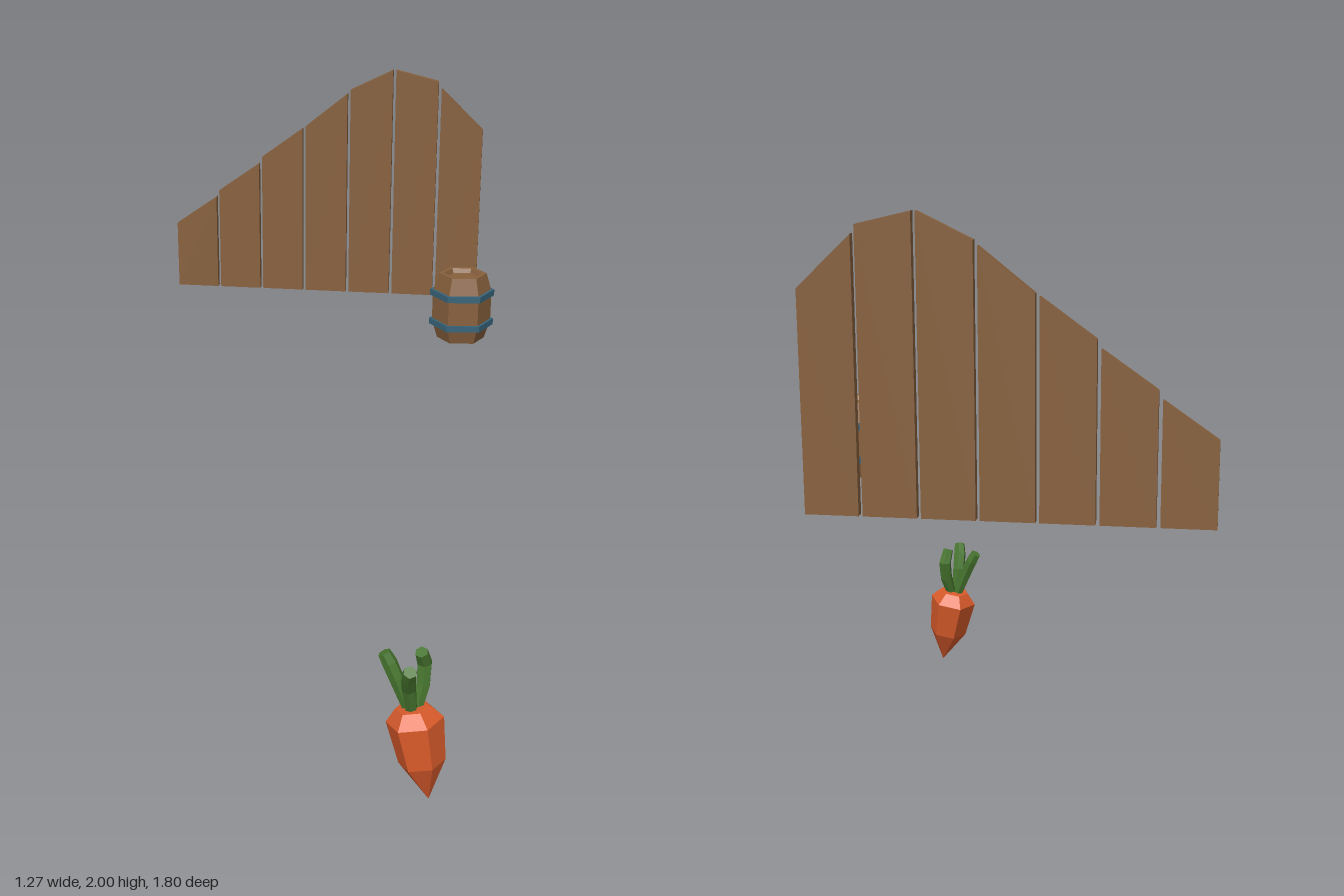
import * as THREE from 'three';

const UP = new THREE.Vector3(0, 1, 0);
const material = (name, color) => {
  const m = new THREE.MeshStandardMaterial({ color });
  m.name = name;
  return m;
};

// Facets a geometry so every face is flat
function flat(geometry) {
  const g = geometry.index ? geometry.toNonIndexed() : geometry;
  g.computeVertexNormals();
  return g;
}

function addMesh(parent, name, geometry, mat) {
  const mesh = new THREE.Mesh(flat(geometry), mat);
  mesh.name = name;
  parent.add(mesh);
  return mesh;
}

// Six-sided turned solid with corners on the x axis; profile is [radius, height], bottom to top
function hexLathe(profile) {
  const g = new THREE.LatheGeometry(profile.map(([r, y]) => new THREE.Vector2(r, y)), 6);
  return g.rotateY(Math.PI / 6);
}

// Bent six-sided stalk: cylinder rings moved onto the path points
function stalk(path, radii) {
  const points = path.map((p) => new THREE.Vector3(...p));
  const last = points.length - 1;
  const turns = points.map((p, i) => {
    const dir = points[Math.min(i + 1, last)].clone().sub(points[Math.max(i - 1, 0)]).normalize();
    return new THREE.Quaternion().setFromUnitVectors(UP, dir);
  });
  const g = new THREE.CylinderGeometry(1, 1, 1, 6, last);
  const pos = g.attributes.position;
  const v = new THREE.Vector3();
  for (let i = 0; i < pos.count; i++) {
    v.fromBufferAttribute(pos, i);
    const ring = Math.round((v.y + 0.5) * last);
    v.setY(0).multiplyScalar(radii[ring]).applyQuaternion(turns[ring]).add(points[ring]);
    pos.setXYZ(i, v.x, v.y, v.z);
  }
  return g;
}

export function createModel() {
  const model = new THREE.Group();
  model.name = 'plankFenceBarrelAndCarrot';
  const wood = material('wood brown', 0x87603d);
  const metal = material('band blue grey', 0x38647a);
  const orange = material('carrot orange', 0xd95b2b);
  const green = material('leaf green', 0x47752f);

  // Row of vertical planks with slanted tops: [left height, right height]
  const planks = new THREE.Group();
  planks.name = 'planks';
  model.add(planks);
  const base = 1.127, width = 0.16, step = 0.1718;
  const tops = [
    [1.381, 1.492], [1.518, 1.63], [1.656, 1.772], [1.78, 1.908],
    [1.923, 2.0], [2.0, 1.962], [1.936, 1.783],
  ];
  tops.forEach(([left, right], i) => {
    const x = -0.638 + i * step;
    const shape = new THREE.Shape([
      new THREE.Vector2(x, base), new THREE.Vector2(x + width, base),
      new THREE.Vector2(x + width, right), new THREE.Vector2(x, left),
    ]);
    const g = new THREE.ExtrudeGeometry(shape, { depth: 0.028, bevelEnabled: false });
    addMesh(planks, 'plank' + (i + 1), g.translate(0, 0, -0.9), wood);
  });

  // Barrel with recessed ends and two bands
  const barrel = new THREE.Group();
  barrel.name = 'barrel';
  barrel.position.set(0.515, 1.125, -0.388);
  barrel.rotation.y = THREE.MathUtils.degToRad(6);
  model.add(barrel);
  addMesh(barrel, 'barrelBody', hexLathe([
    [0, 0.016], [0.06, 0.016], [0.068, 0], [0.085, 0], [0.105, 0.065],
    [0.105, 0.175], [0.085, 0.242], [0.068, 0.242], [0.06, 0.226], [0, 0.226],
  ]), wood);
  for (const [name, y] of [['lowerBand', 0.062], ['upperBand', 0.171]]) {
    addMesh(barrel, name, hexLathe([
      [0.095, y - 0.011], [0.115, y - 0.011], [0.115, y + 0.011], [0.095, y + 0.011],
    ]), metal);
  }

  // Carrot root, leaning away from its tip
  const carrot = new THREE.Group();
  carrot.name = 'carrot';
  model.add(carrot);
  const root = addMesh(carrot, 'carrotRoot', hexLathe([
    [0, 0], [0.075, 0.135], [0.092, 0.28], [0.055, 0.322], [0, 0.325],
  ]), orange);
  root.position.set(0.512, 0, 0.823);
  root.quaternion.setFromUnitVectors(UP, new THREE.Vector3(-0.05, 0.26, -0.024).normalize());

  // Three bent leaf stalks
  const leaves = [
    [[0.44, 0.3, 0.79], [0.398, 0.405, 0.78], [0.375, 0.455, 0.773], [0.357, 0.488, 0.77]],
    [[0.45, 0.3, 0.805], [0.44, 0.4, 0.825], [0.44, 0.455, 0.855], [0.445, 0.492, 0.88]],
    [[0.463, 0.3, 0.79], [0.48, 0.38, 0.765], [0.482, 0.45, 0.75], [0.472, 0.5, 0.772]],
  ];
  leaves.forEach((path, i) => {
    addMesh(carrot, 'leaf' + (i + 1), stalk(path, [0.018, 0.024, 0.025, 0.021]), green);
  });

  return model;
}
